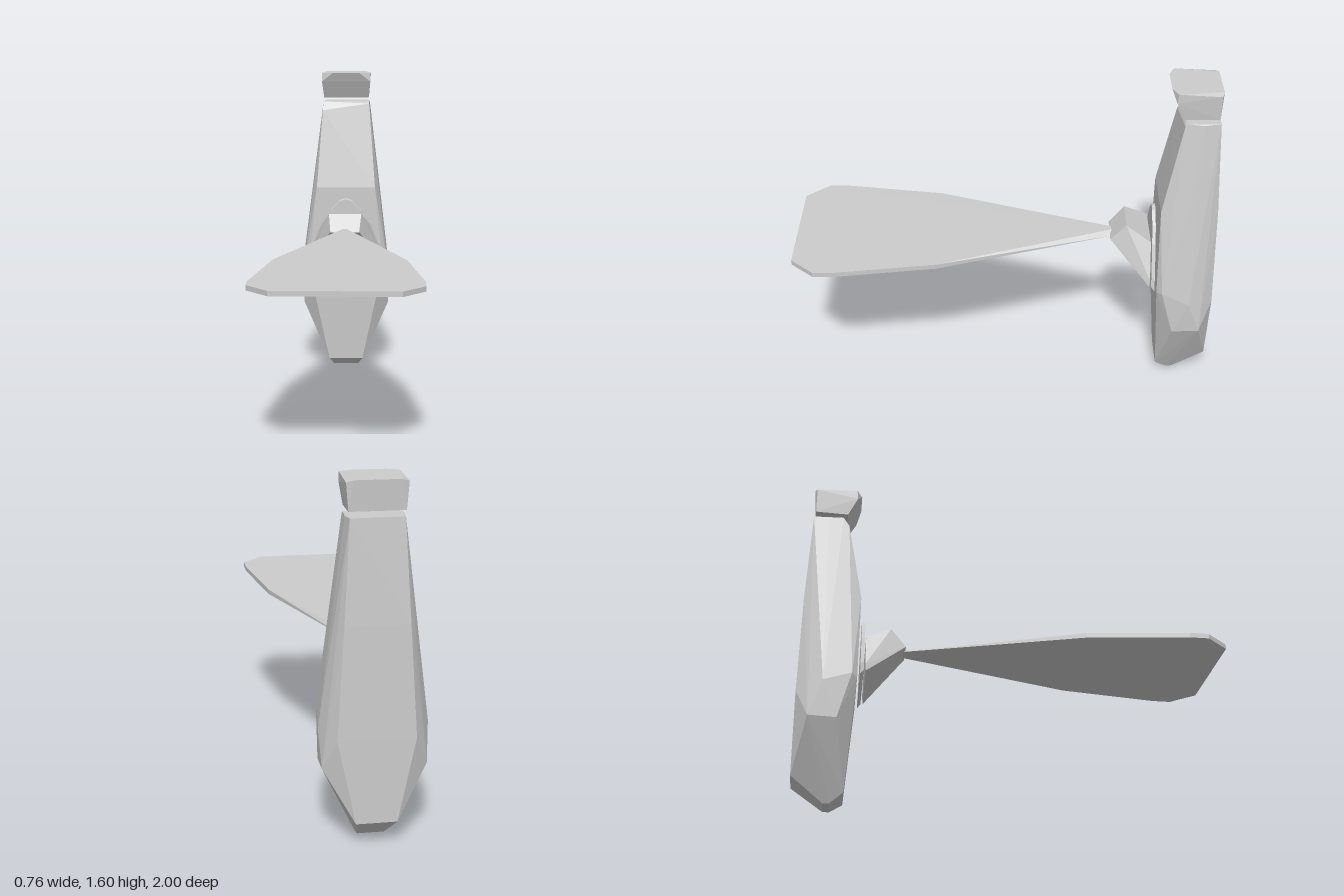
import * as THREE from 'three';
import { ConvexGeometry } from 'three/addons/geometries/ConvexGeometry.js';

const grey = new THREE.MeshStandardMaterial({ color: 0xcccccc, flatShading: true });

// Faceted solid from half the corners; each [x, y, z] is mirrored across x = 0.
function facetedPart(name, corners, extra = []) {
  const points = [];
  for (const [x, y, z] of corners) {
    points.push(new THREE.Vector3(x, y, z));
    if (x !== 0) points.push(new THREE.Vector3(-x, y, z));
  }
  for (const p of extra) points.push(new THREE.Vector3(...p));
  const mesh = new THREE.Mesh(new ConvexGeometry(points), grey);
  mesh.name = name;
  return mesh;
}

export function createModel() {
  const model = new THREE.Group();
  model.name = 'paddleOnPost';

  // Tapered body, widest below the middle
  model.add(facetedPart('body', [
    [0.065, 0.005, -0.82], [0.06, 0.005, -0.85],                      // foot
    [0.09, 0.05, -0.76], [0.09, 0.12, -1],                            // lower front and back edges
    [0.228, 0.355, -0.81], [0.228, 0.36, -0.94],                      // flank corners
    [0.2, 0.57, -0.726], [0.225, 0.58, -0.75], [0.236, 0.52, -0.88],  // widest ring
    [0.17, 0.5, -1],
    [0.155, 1, -0.725], [0.178, 1, -0.85], [0.14, 1, -0.993],         // upper ring
    [0.122, 1.45, -0.83], [0.125, 1.445, -0.9], [0.115, 1.45, -0.973] // top
  ], [[-0.125, 1.405, -0.8], [0.122, 1.44, -0.81], [-0.243, 0.53, -0.88]]));

  // Separate cap above the body, overhanging at the front
  model.add(facetedPart('cap', [
    [0.118, 1.472, -0.81], [0.12, 1.475, -0.965],
    [0.128, 1.56, -0.765],
    [0.128, 1.605, -0.77], [0.07, 1.605, -0.745],
    [0.13, 1.595, -0.965], [0.1, 1.605, -0.975]
  ]));

  // Thin arched plate behind the bracket
  const arch = [
    [0.212, 0.585], [0.2, 0.64], [0.135, 0.8], [0.085, 0.88], [0.03, 0.935], [0, 0.945]
  ];
  model.add(facetedPart('backPlate', arch.flatMap(([x, y]) => [
    [x, y, -0.714], [x * 0.94, 0.605 + (y - 0.585) * 0.93, -0.698]
  ])));

  // Wedge bracket that carries the blade
  model.add(facetedPart('bracket', [
    [0.2, 0.605, -0.688], [0.195, 0.64, -0.692], [0.125, 0.81, -0.692],
    [0.085, 0.88, -0.575], [0.075, 0.795, -0.502]
  ]));

  // Flat blade; its lower face is slightly wider at the root
  const blade = [[0.31, 0.32], [0.38, 0.8], [0.38, 0.89], [0.28, 1]];
  const bladeCorners = [[0.013, 0.81, -0.51], [0.035, 0.787, -0.51]];
  for (const [x, z] of blade) bladeCorners.push([x, 0.808, z], [x, 0.785, z]);
  model.add(facetedPart('blade', bladeCorners));

  return model;
}
